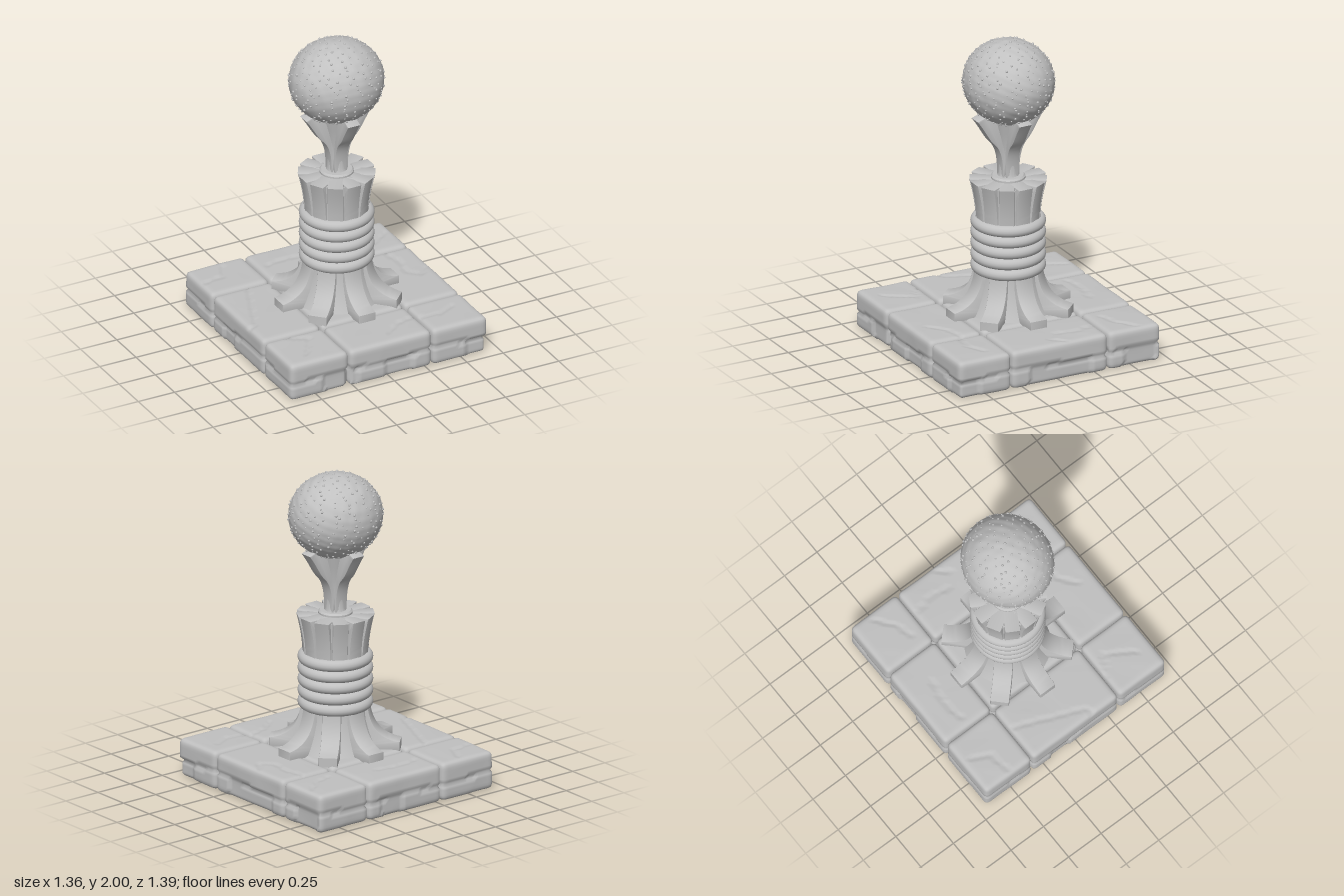
import * as THREE from 'three';
import { mergeVertices, mergeGeometries, toCreasedNormals } from 'three/addons/utils/BufferGeometryUtils.js';

const stone = new THREE.MeshStandardMaterial({ color: 0xc0c0c0 });
stone.name = 'grey stone';

let seed = 7;
const rand = () => (seed = (seed * 16807) % 2147483647) / 2147483647;
const noise = (x, y, z) =>
  (Math.sin(x * 19 + y * 7) + Math.sin(y * 23 - z * 11 + 1) + Math.sin(z * 17 + x * 13 + 2)) / 3;

function add(parent, name, geometry) {
  const mesh = new THREE.Mesh(geometry, stone);
  mesh.name = name;
  parent.add(mesh);
  return mesh;
}

// Drops seams so that normals are smooth over the whole surface
function smooth(geometry) {
  geometry.deleteAttribute('uv');
  geometry.deleteAttribute('normal');
  const merged = mergeVertices(geometry, 1e-5);
  merged.computeVertexNormals();
  return merged;
}

// Shallow cracks on the slab tops, as [x, z] paths
const cracks = [
  [[-0.65, -0.5], [-0.5, -0.52], [-0.45, -0.64]],
  [[-0.45, -0.3], [-0.54, -0.08], [-0.62, 0.12], [-0.68, 0.14]],
  [[-0.53, 0.35], [-0.41, 0.42], [-0.52, 0.59]],
  [[0.4, -0.43], [0.51, -0.46], [0.62, -0.55]],
  [[0.5, -0.3], [0.53, -0.2], [0.51, -0.05], [0.58, 0.02], [0.64, -0.06]],
  [[0.32, 0.5], [0.45, 0.51], [0.55, 0.46]],
  [[-0.2, -0.52], [-0.05, -0.54], [0.1, -0.51]],
  [[0.05, 0.58], [0.15, 0.5], [0.28, 0.47]],
].flatMap(path => path.slice(1).map((b, i) => new THREE.Line3(
  new THREE.Vector3(path[i][0], 0, path[i][1]), new THREE.Vector3(b[0], 0, b[1]))));

// Rounded worn slab with a seam half way up its outer sides
function slabGeometry(x0, x1, z0, z1) {
  const size = new THREE.Vector3(x1 - x0 - 0.006, 0.242, z1 - z0 - 0.006);
  const centre = new THREE.Vector3((x0 + x1) / 2, 0.129, (z0 + z1) / 2);
  const seg = v => Math.round(v / 0.017);
  const geo = new THREE.BoxGeometry(size.x, size.y, size.z, seg(size.x), seg(size.y), seg(size.z));
  const radius = 0.032;
  const limit = size.clone().multiplyScalar(0.5).subScalar(radius);
  const pos = geo.attributes.position;
  const p = new THREE.Vector3(), inner = new THREE.Vector3();
  const flat = new THREE.Vector3(), near = new THREE.Vector3();
  for (let i = 0; i < pos.count; i++) {
    p.fromBufferAttribute(pos, i);
    inner.copy(p).clamp(limit.clone().negate(), limit);
    const out = p.clone().sub(inner).normalize();
    p.copy(inner).addScaledVector(out, radius).add(centre);
    const side = Math.hypot(out.x, out.z);
    // seam and chipped lower edges
    let dent = 0.003 * Math.max(0, noise(p.x, p.y, p.z));
    const seamY = 0.12 + 0.008 * Math.sin(p.x * 9 + p.z * 7);
    if (Math.abs(p.y - seamY) < 0.011) dent += 0.012 * side;
    if (p.y < seamY && noise(p.x * 0.6, 0, p.z * 0.6) > 0.22) dent += 0.014 * side;
    if (out.y > 0.5) {
      flat.set(p.x, 0, p.z);
      for (const line of cracks) {
        const gap = line.closestPointToPoint(flat, true, near).distanceTo(flat);
        if (gap < 0.014) { dent += 0.006; break; }
      }
    }
    p.addScaledVector(out, -dent);
    pos.setXYZ(i, p.x, p.y, p.z);
  }
  return smooth(geo);
}

// Upright fins of one outline (radius, height) set around the axis
function addFins(parent, name, count, width, build) {
  const shape = new THREE.Shape();
  build(shape);
  const b = 0.005;
  const geo = new THREE.ExtrudeGeometry(shape, {
    depth: width - 2 * b, bevelThickness: b, bevelSize: b, bevelOffset: -b, bevelSegments: 2, curveSegments: 14,
  });
  geo.translate(0, 0, -width / 2 + b);
  const creased = toCreasedNormals(geo, 0.6);
  const group = new THREE.Group();
  group.name = name + 's';
  for (let i = 0; i < count; i++) add(group, name, creased).rotation.y = i / count * Math.PI * 2;
  parent.add(group);
}

function lathe(points) {
  const geo = new THREE.LatheGeometry(points.map(q => new THREE.Vector2(...q)), 64);
  return toCreasedNormals(geo, 0.6);
}

export function createModel() {
  const model = new THREE.Group();
  model.name = 'stonePedestal';

  // Paved base of nine slabs
  const base = new THREE.Group();
  base.name = 'pavedBase';
  model.add(base);
  const xs = [-0.685, -0.278, 0.293, 0.677];
  const zs = [-0.698, -0.335, 0.33, 0.696];
  for (let i = 0; i < 3; i++)
    for (let j = 0; j < 3; j++)
      add(base, 'slab', slabGeometry(xs[i], xs[i + 1], zs[j], zs[j + 1]));

  // Column core: flared foot, neck behind the rings, crown
  add(model, 'column', lathe([
    [0, 0.24], [0.27, 0.24], [0.245, 0.29], [0.22, 0.36], [0.2, 0.44], [0.193, 0.52],
    [0.193, 0.86], [0.19, 0.92], [0.198, 1.02], [0.205, 1.095], [0, 1.095],
  ]));

  // Eight roots spreading over the base
  addFins(model, 'root', 8, 0.115, s => {
    s.moveTo(0, 0.24);
    s.lineTo(0.4, 0.24);
    s.lineTo(0.4, 0.3);
    s.bezierCurveTo(0.27, 0.32, 0.22, 0.4, 0.205, 0.52);
    s.lineTo(0, 0.52);
  });

  // Five stacked rings
  const ring = new THREE.TorusGeometry(0.194, 0.037, 16, 64);
  ring.rotateX(Math.PI / 2);
  for (let i = 0; i < 5; i++) add(model, 'ring', ring).position.y = 0.537 + i * 0.072;

  // Flutes around the crown
  addFins(model, 'crownFlute', 12, 0.094, s => {
    s.moveTo(0.05, 0.84);
    s.lineTo(0.196, 0.84);
    s.bezierCurveTo(0.2, 0.95, 0.215, 1.02, 0.236, 1.104);
    s.lineTo(0.05, 1.104);
  });

  // Collar and stem
  add(model, 'collar', lathe([[0, 1.09], [0.105, 1.09], [0.105, 1.115], [0.095, 1.125], [0, 1.125]]));
  add(model, 'stem', lathe([
    [0.07, 1.115], [0.06, 1.14], [0.058, 1.24], [0.068, 1.32], [0.09, 1.42], [0.12, 1.54], [0, 1.56],
  ]));

  // Four brackets holding the ball
  addFins(model, 'bracket', 4, 0.085, s => {
    s.moveTo(0, 1.12);
    s.lineTo(0.056, 1.12);
    s.bezierCurveTo(0.056, 1.24, 0.07, 1.3, 0.11, 1.345);
    s.bezierCurveTo(0.15, 1.38, 0.17, 1.44, 0.232, 1.522);
    s.lineTo(0.18, 1.54);
    s.lineTo(0, 1.54);
  });

  // Slightly lumpy ball covered with small bumps
  const radii = new THREE.Vector3(0.296, 0.264, 0.278);
  const ball = new THREE.Group();
  ball.name = 'ball';
  ball.position.set(0, 1.734, -0.003);
  model.add(ball);
  const skin = new THREE.SphereGeometry(1, 96, 64);
  const pos = skin.attributes.position;
  const v = new THREE.Vector3();
  for (let i = 0; i < pos.count; i++) {
    v.fromBufferAttribute(pos, i);
    v.multiplyScalar(1 + 0.008 * noise(v.x * 1.4, v.y * 1.4, v.z * 1.4)).multiply(radii);
    pos.setXYZ(i, v.x, v.y, v.z);
  }
  add(ball, 'ballSkin', smooth(skin));
  const bumps = [];
  const count = 420;
  for (let i = 0; i < count; i++) {
    const y = 1 - 2 * (i + 0.5) / count;
    const a = i * 2.39996 + (rand() - 0.5) * 0.25;
    const r = Math.sqrt(1 - y * y);
    const bump = new THREE.IcosahedronGeometry(0.005 + rand() * 0.004, 1);
    bump.translate(r * Math.cos(a) * radii.x, y * radii.y, r * Math.sin(a) * radii.z);
    bumps.push(bump);
  }
  add(ball, 'ballBumps', mergeGeometries(bumps));

  return model;
}
